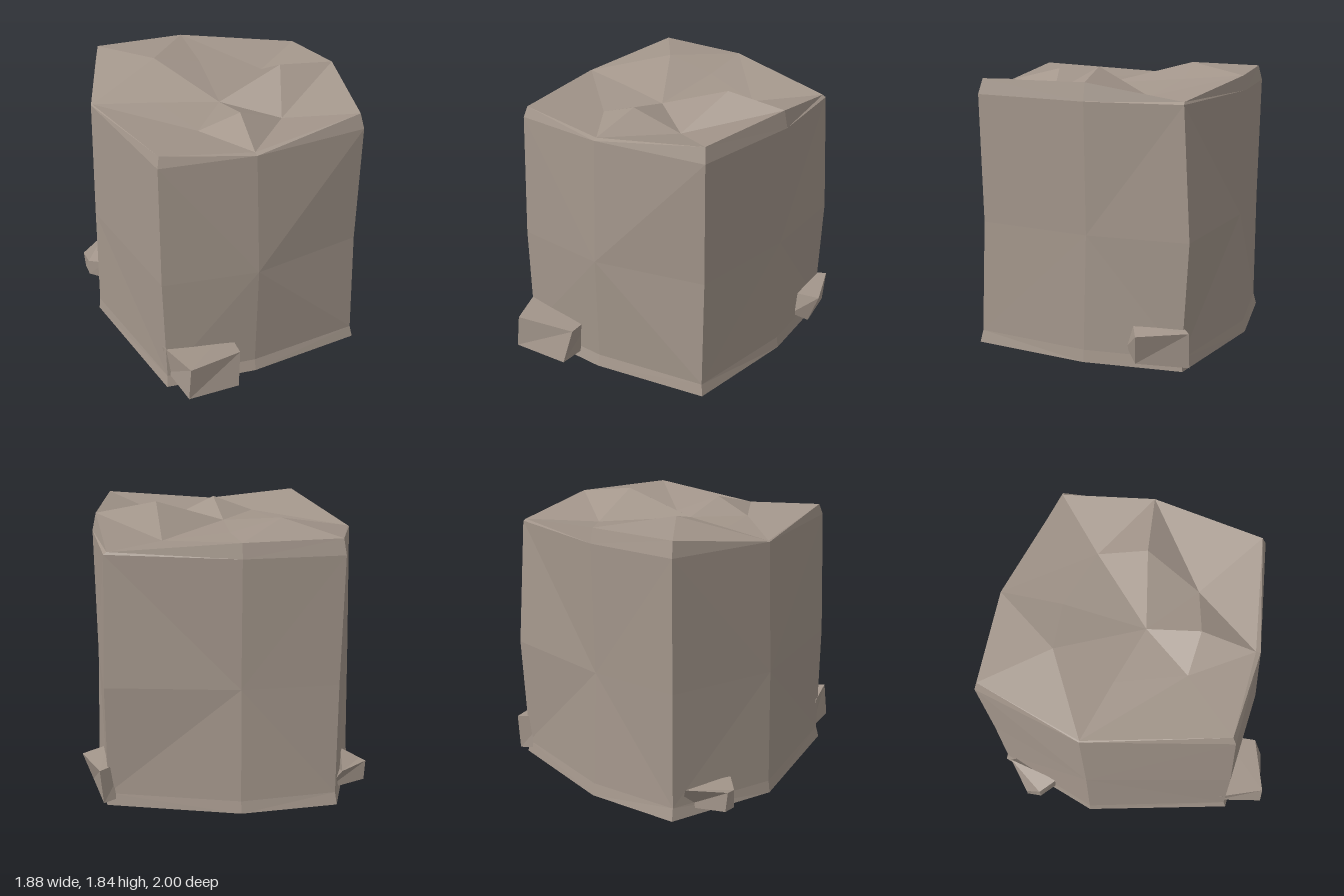
import * as THREE from 'three';

const stone = new THREE.MeshStandardMaterial({ color: 0xa3968b, flatShading: true, side: THREE.DoubleSide });
stone.name = 'warm grey stone';

function facetMesh(points, faces, name) {
  const g = new THREE.BufferGeometry();
  g.setAttribute('position', new THREE.Float32BufferAttribute(points.flat(), 3));
  g.setIndex(faces.flat());
  const flat = g.toNonIndexed();
  flat.computeVertexNormals();
  const mesh = new THREE.Mesh(flat, stone);
  mesh.name = name;
  return mesh;
}

// Stitches eight-sided rings; cornerUp picks which way the diagonals run.
function stitch(rings, cornerUp, firstIndex = 0) {
  const faces = [];
  for (let k = 0; k < rings - 1; k++) {
    for (let i = 0; i < 8; i++) {
      const j = (i + 1) % 8, lo = firstIndex + k * 8, hi = lo + 8;
      const a = lo + i, b = lo + j, c = hi + j, d = hi + i;
      if ((i % 2 === 0) === cornerUp[k]) faces.push([a, b, c], [a, c, d]);
      else faces.push([a, b, d], [b, c, d]);
    }
  }
  return faces;
}

// Rings run front, front left, left, back left, back, back right, right, front right.
const level = (y, xz) => xz.map(([x, z], i) => [x, Array.isArray(y) ? y[i] : y, z]);

const foot = level(0, [[-0.03, 0.77], [0.74, 0.62], [0.84, -0.16], [0.78, -0.80],
  [-0.07, -1.0], [-0.70, -0.94], [-0.92, -0.22], [-0.65, 0.76]]);
const plinth = level(0.08, [[-0.03, 0.75], [0.725, 0.605], [0.83, -0.16], [0.77, -0.79],
  [-0.07, -0.985], [-0.69, -0.92], [-0.91, -0.22], [-0.64, 0.74]]);
const waist = level(0.83, [[-0.02, 0.775], [0.715, 0.58], [0.81, -0.17], [0.775, -0.83],
  [-0.07, -0.945], [-0.69, -0.92], [-0.895, -0.21], [-0.655, 0.74]]);
const rim = level(1.67, [[-0.03, 0.73], [0.72, 0.60], [0.82, -0.16], [0.75, -0.775],
  [-0.07, -0.96], [-0.70, -0.93], [-0.87, -0.215], [-0.645, 0.71]]);
const lip = level([1.68, 1.77, 1.785, 1.685, 1.765, 1.77, 1.675, 1.74],
  [[-0.035, 0.70], [0.70, 0.575], [0.795, -0.16], [0.73, -0.77],
    [-0.07, -0.94], [-0.685, -0.907], [-0.86, -0.215], [-0.63, 0.685]]);
const crags = level([1.77, 1.64, 1.84, 1.66, 1.73, 1.81, 1.68, 1.67],
  [[-0.02, 0.345], [0.29, 0.26], [0.40, -0.106], [0.38, -0.435],
    [-0.04, -0.545], [-0.37, -0.51], [-0.45, -0.11], [-0.29, 0.325]]);

// Loose stone from eight corners: bottom loop then top loop, counterclockwise from above.
function looseStone(name, corners) {
  const faces = [[3, 2, 1], [3, 1, 0], [4, 5, 6], [4, 6, 7]];
  for (let i = 0; i < 4; i++) {
    const j = (i + 1) % 4;
    faces.push([i, j, j + 4], [i, j + 4, i + 4]);
  }
  return facetMesh(corners, faces, name);
}

export function createModel() {
  const group = new THREE.Group();
  group.name = 'rockPillar';

  // Open-bottomed pillar wall
  group.add(facetMesh([...foot, ...plinth, ...waist, ...rim, ...lip].map((p) => p),
    stitch(5, [true, false, true, true]), 'pillarWall'));

  // Craggy top with a low centre
  const topFaces = stitch(2, [true]);
  for (let i = 0; i < 8; i++) topFaces.push([16, 8 + i, 8 + (i + 1) % 8]);
  group.add(facetMesh([...lip, ...crags, [-0.055, 1.68, 0]], topFaces, 'craggyTop'));

  // Stones leaning against the foot
  group.add(looseStone('frontStone', [
    [-0.56, 0.08, 1.0], [-0.20, 0.045, 0.93], [-0.20, 0.04, 0.62], [-0.63, 0.08, 0.70],
    [-0.54, 0.31, 0.99], [-0.17, 0.27, 0.86], [-0.19, 0.27, 0.62], [-0.66, 0.31, 0.70]]));
  group.add(looseStone('leftStone', [
    [0.78, 0.12, -0.43], [0.87, 0.05, -0.52], [0.80, 0.04, -0.85], [0.64, 0.05, -0.76],
    [0.77, 0.27, -0.47], [0.935, 0.25, -0.54], [0.82, 0.27, -0.85], [0.64, 0.28, -0.72]]));
  group.add(looseStone('rightStone', [
    [-0.92, 0.04, -0.60], [-0.80, 0.04, -0.50], [-0.66, 0.04, -0.80], [-0.93, 0.05, -0.70],
    [-0.92, 0.16, -0.60], [-0.81, 0.19, -0.50], [-0.745, 0.20, -0.865], [-0.94, 0.18, -0.69]]));

  return group;
}
